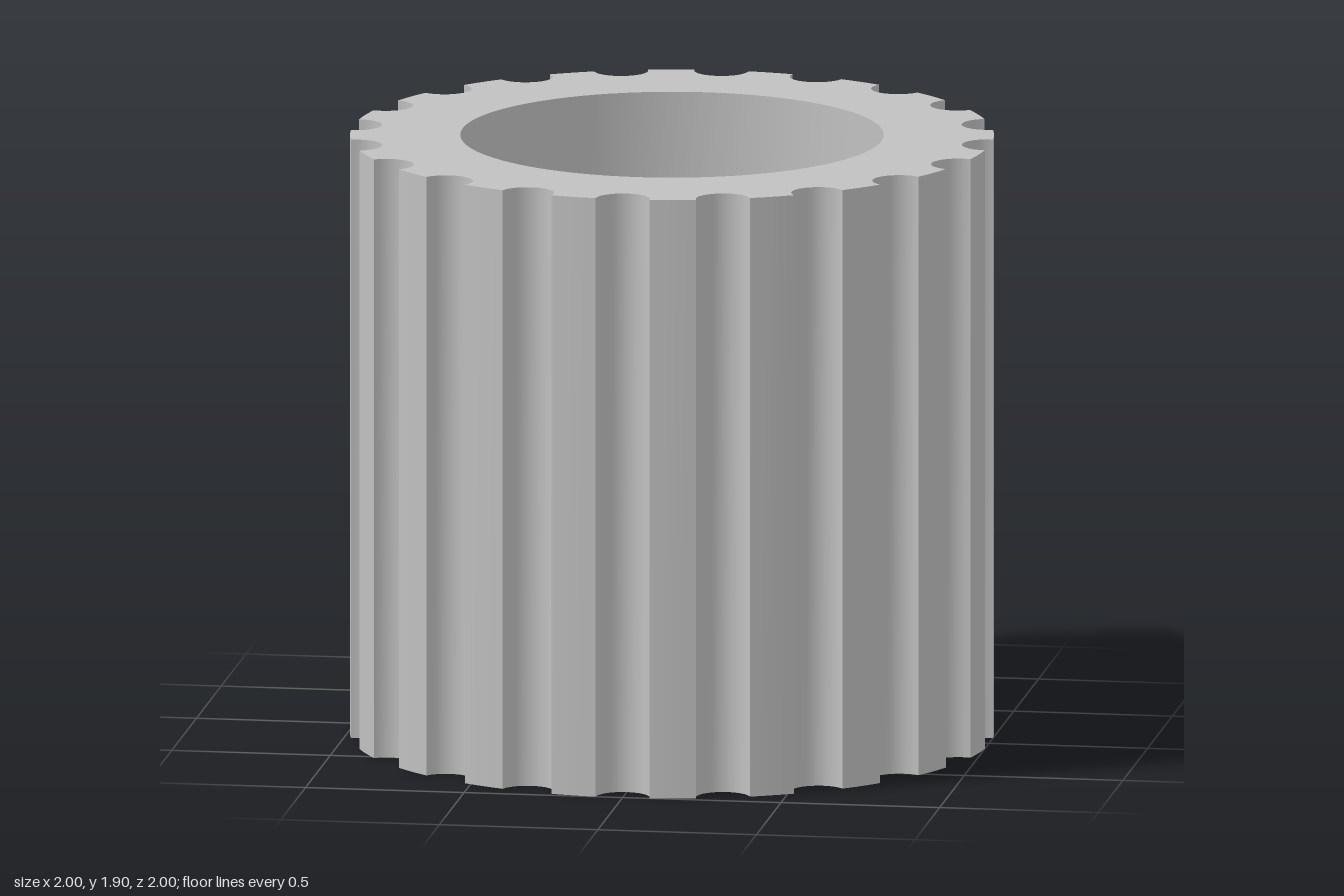
import * as THREE from 'three';
import { toCreasedNormals } from 'three/addons/utils/BufferGeometryUtils.js';

const HEIGHT = 1.905, RIM = 1.0036, FLUTES = 20, FLUTE_R = 0.085;
const SEAT_Y = 1.588, LEDGE_Y = 1.05, SOCKET_Y = 0.2;

// Points along an arc, from angle a to angle b
function arc(cx, cy, r, a, b, n) {
  return Array.from({ length: n + 1 }, (_, i) => {
    const t = a + ((b - a) * i) / n;
    return new THREE.Vector2(cx + r * Math.cos(t), cy + r * Math.sin(t));
  });
}

const circle = (r, n) => arc(0, 0, r, 0, Math.PI * 2, n).slice(0, -1);

// Rim with evenly spaced round flutes cut into it
function flutedOutline() {
  const half = Math.acos((RIM * RIM + 1 - FLUTE_R * FLUTE_R) / (2 * RIM));
  const lip = Math.atan2(RIM * Math.sin(half), RIM * Math.cos(half) - 1);
  const step = (Math.PI * 2) / FLUTES;
  const points = [];
  for (let i = 0; i < FLUTES; i++) {
    const a = i * step;
    points.push(...arc(Math.cos(a), Math.sin(a), FLUTE_R, a - lip, a - Math.PI * 2 + lip, 14));
    points.push(...arc(0, 0, RIM, a + half, a + step - half, 3).slice(1, -1));
  }
  return points;
}

// Upright wall following a closed outline; inward walls line a hole
function wall(outline, y0, y1, inward = false) {
  const pos = [];
  outline.forEach((p, i) => {
    let a = p, b = outline[(i + 1) % outline.length];
    if (inward) [a, b] = [b, a];
    pos.push(a.x, y0, -a.y, b.x, y0, -b.y, b.x, y1, -b.y);
    pos.push(a.x, y0, -a.y, b.x, y1, -b.y, a.x, y1, -a.y);
  });
  const geo = new THREE.BufferGeometry();
  geo.setAttribute('position', new THREE.Float32BufferAttribute(pos, 3));
  return toCreasedNormals(geo, 0.6);
}

// Level face at height y, with an optional hole
function face(outline, y, hole, down = false) {
  const shape = new THREE.Shape(outline);
  if (hole) shape.holes.push(new THREE.Path(hole));
  const geo = new THREE.ShapeGeometry(shape);
  if (down) geo.scale(1, -1, 1).rotateX(Math.PI / 2);
  else geo.rotateX(-Math.PI / 2);
  if (down) {
    // Underside: keep the outline in place and face it downwards
    const flat = new THREE.ShapeGeometry(shape).rotateX(-Math.PI / 2);
    const index = Array.from(flat.index.array).reverse();
    flat.setIndex(index);
    flat.computeVertexNormals();
    return flat.translate(0, y, 0);
  }
  return geo.translate(0, y, 0);
}

export function createModel() {
  const group = new THREE.Group();
  group.name = 'flutedKnob';
  const grey = new THREE.MeshStandardMaterial({ color: 0xc0c0c0 });
  grey.name = 'grey';
  const add = (name, geo) => {
    const mesh = new THREE.Mesh(geo, grey);
    mesh.name = name;
    group.add(mesh);
  };

  const rim = flutedOutline();
  const recess = circle(0.66, 96);
  const bore = circle(0.398, 72);
  const flat = Math.asin(0.16 / 0.325);
  const socket = arc(0, 0, 0.325, -flat, Math.PI + flat, 56);

  // Outer body
  add('flutedSide', wall(rim, 0, HEIGHT));
  add('closedEnd', face(rim, 0, null, true));
  add('openEnd', face(rim, HEIGHT, recess));

  // Wide recess, then the round bore
  add('recessWall', wall(recess, SEAT_Y, HEIGHT, true));
  add('recessFloor', face(recess, SEAT_Y, bore));
  add('boreWall', wall(bore, LEDGE_Y, SEAT_Y, true));
  add('boreLedge', face(bore, LEDGE_Y, socket));

  // D-shaped shaft socket
  add('socketWall', wall(socket, SOCKET_Y, LEDGE_Y, true));
  add('socketFloor', face(socket, SOCKET_Y));
  return group;
}
